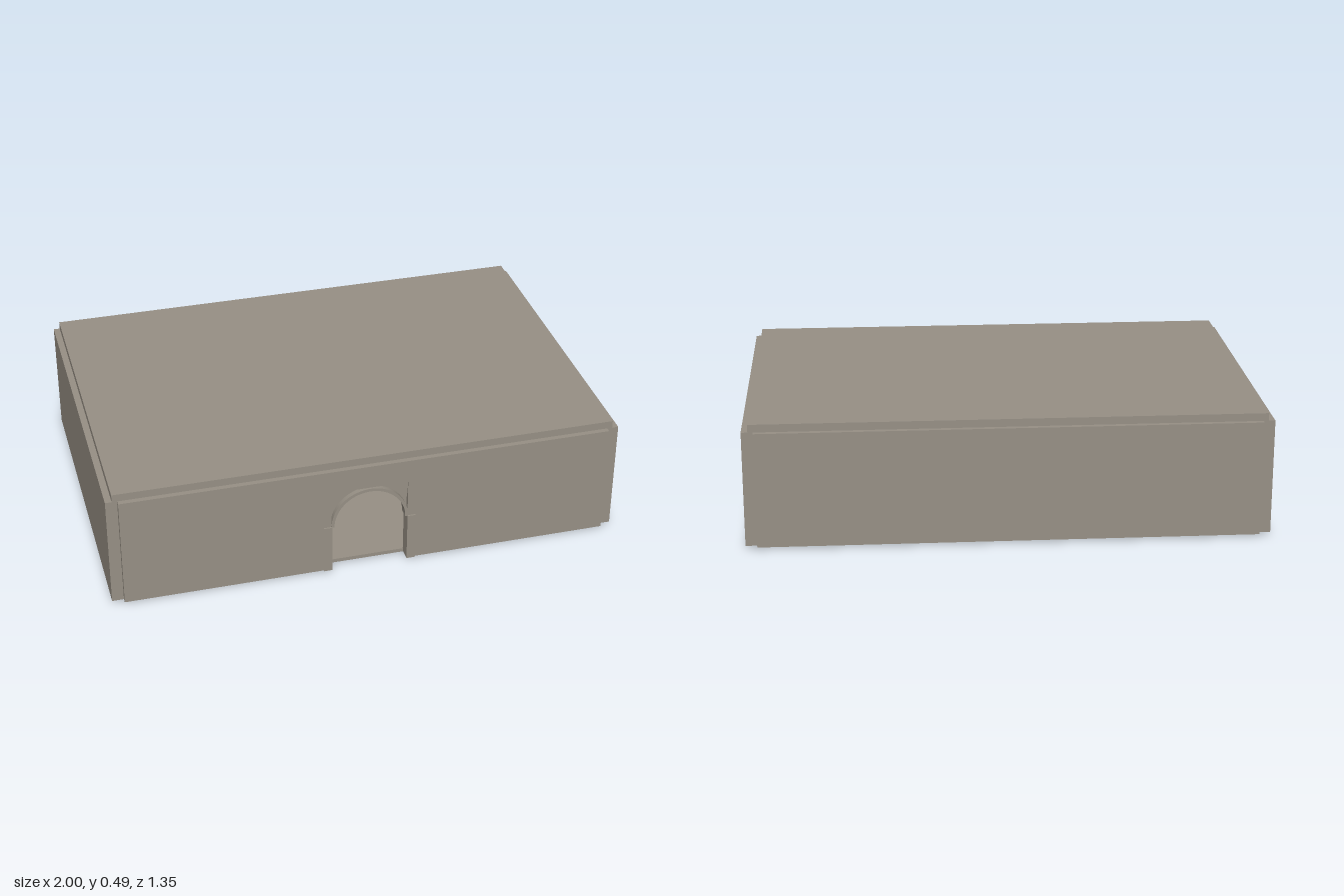
import * as THREE from 'three';

const stone = new THREE.MeshStandardMaterial({ color: 0x979085, flatShading: true });
const smoothStone = new THREE.MeshStandardMaterial({ color: 0x979085 });
const dark = new THREE.MeshStandardMaterial({ color: 0x45443c, flatShading: true });

export function createModel() {
  const root = new THREE.Group();

  const add = (name, geometry, material = stone, parent = root) => {
    const mesh = new THREE.Mesh(geometry, material);
    mesh.name = name;
    parent.add(mesh);
    return mesh;
  };
  // Box given by its minimum and maximum on each axis
  const box = (name, x0, x1, y0, y1, z0, z1, material, parent) => {
    const mesh = add(name, new THREE.BoxGeometry(x1 - x0, y1 - y0, z1 - z0), material, parent);
    mesh.position.set((x0 + x1) / 2, (y0 + y1) / 2, (z0 + z1) / 2);
    return mesh;
  };
  const slab = (name, shape, z0, z1, material, parent) => {
    const geometry = new THREE.ExtrudeGeometry(shape, { depth: z1 - z0, bevelEnabled: false, curveSegments: 32 });
    geometry.translate(0, 0, z0);
    return add(name, geometry, material, parent);
  };
  const polygon = (points) => new THREE.Shape(points.map(([x, y]) => new THREE.Vector2(x, y)));

  // Shell of the hall
  box('floor', -0.955, 0.955, 0.01, 0.025, -0.64, 0.63);
  box('roof', -0.975, 0.975, 0.46, 0.49, -0.655, 0.65);
  box('backWall', -0.955, 0.955, 0.01, 0.46, -0.675, -0.635);
  for (const s of [-1, 1]) {
    box('sideWall', s * 0.9775 - 0.0225, s * 0.9775 + 0.0225, 0.01, 0.46, -0.655, 0.65);
  }

  // Front wall with a square-headed doorway
  slab('frontWall', polygon([
    [-0.955, 0.01], [-0.15, 0.01], [-0.15, 0.365], [0.15, 0.365],
    [0.15, 0.01], [0.955, 0.01], [0.955, 0.46], [-0.955, 0.46],
  ]), 0.63, 0.67);

  // Arched door surround
  const door = new THREE.Group();
  door.name = 'doorway';
  root.add(door);
  const arch = new THREE.Shape();
  arch.absarc(0, 0.21, 0.152, 0, Math.PI, false);
  arch.absarc(0, 0.21, 0.14, Math.PI, 0, true);
  slab('archRing', arch, 0.632, 0.674, stone, door);

  for (const s of [-1, 1]) {
    // Recessed filling between the arch and the square head
    const spandrel = new THREE.Shape();
    spandrel.moveTo(s * 0.15, 0.21);
    spandrel.lineTo(s * 0.15, 0.365);
    spandrel.lineTo(0, 0.365);
    spandrel.lineTo(0, 0.355);
    spandrel.absarc(0, 0.21, 0.145, Math.PI / 2, s > 0 ? 0 : Math.PI, s > 0);
    slab('spandrel', spandrel, 0.635, 0.655, stone, door);
    // Stepped corner ornament
    for (let i = 0; i < 3; i++) {
      const reach = 0.07 - i * 0.02;
      slab('cornerStep', polygon([
        [s * 0.15, 0.365], [s * (0.15 - reach), 0.365], [s * 0.15, 0.365 - reach],
      ]), 0.65, 0.66 + i * 0.004, stone, door);
    }
    box('doorPier', s * 0.165 - 0.016, s * 0.165 + 0.016, 0.01, 0.21, 0.625, 0.676, stone, door);
  }

  // Dais and high seat at the far end of the hall
  const seat = new THREE.Group();
  seat.name = 'highSeat';
  root.add(seat);
  box('dais', -0.15, 0.15, 0.025, 0.032, -0.63, -0.42, stone, seat);
  box('step', -0.06, 0.06, 0.032, 0.06, -0.62, -0.48, stone, seat);
  box('seatBack', -0.062, 0.062, 0.06, 0.22, -0.62, -0.59, dark, seat);
  for (let i = -2; i <= 2; i++) {
    const spike = add('spike', new THREE.ConeGeometry(0.006, 0.035, 8), dark, seat);
    spike.position.set(i * 0.02, 0.237, -0.605);
  }
  for (const s of [-1, 1]) {
    const post = add('seatPost', new THREE.CylinderGeometry(0.014, 0.014, 0.24, 12), smoothStone, seat);
    post.position.set(s * 0.082, 0.15, -0.59);
    const cap = add('postSpire', new THREE.ConeGeometry(0.017, 0.06, 8), dark, seat);
    cap.position.set(s * 0.082, 0.3, -0.59);
  }

  // Half columns along the side walls, their footings reaching just below the floor
  for (const s of [-1, 1]) {
    for (const z of [-0.34, -0.225, -0.115, 0.115, 0.23, 0.345]) {
      const column = add('wallColumn', new THREE.CylinderGeometry(0.012, 0.012, 0.435, 12), smoothStone);
      column.position.set(s * 0.945, 0.2425, z);
      const foot = add('columnFoot', new THREE.SphereGeometry(0.01, 12, 8), smoothStone);
      foot.position.set(s * 0.945, 0.01, z);
    }
  }
  return root;
}
